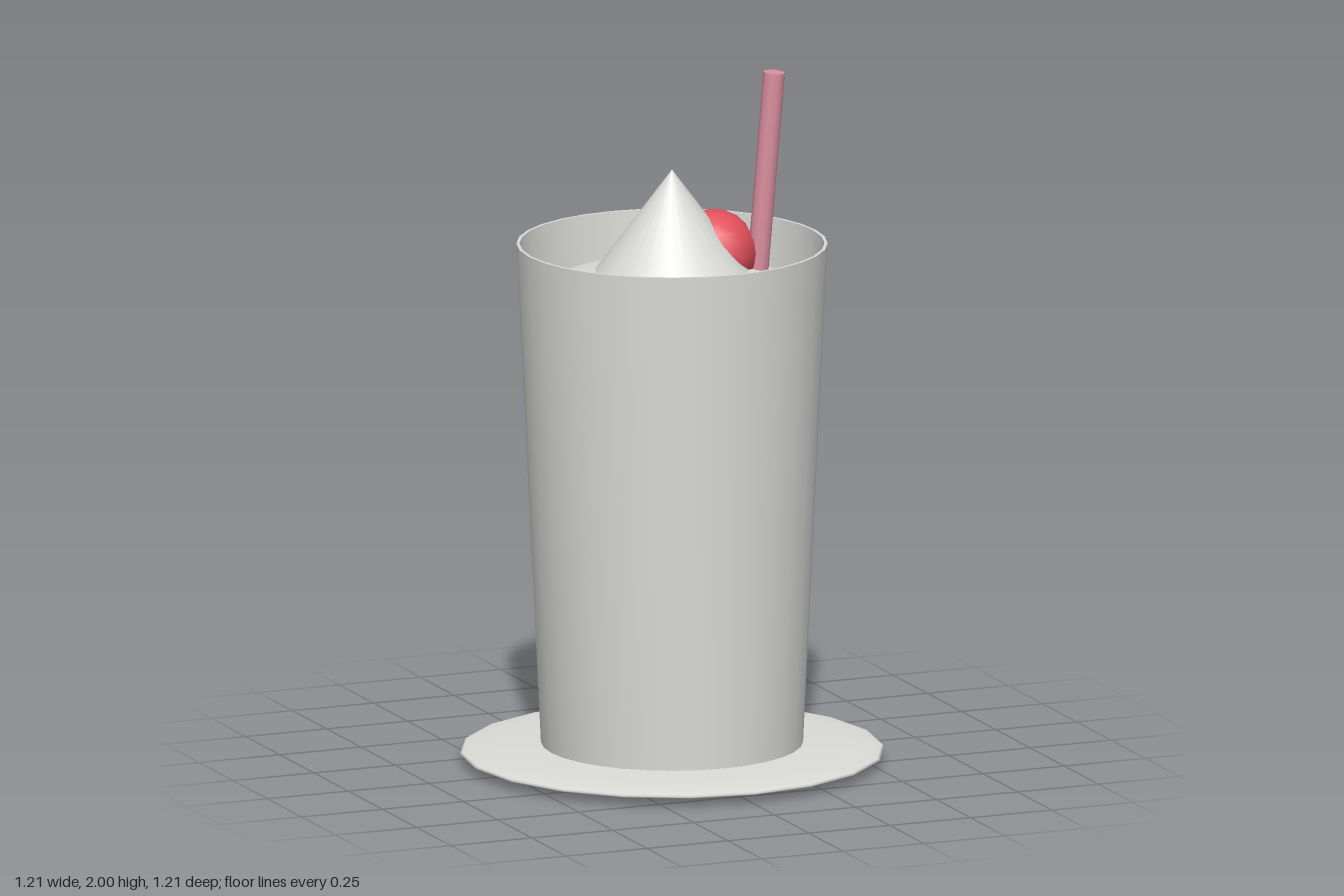
import * as THREE from 'three';
import { toCreasedNormals } from 'three/addons/utils/BufferGeometryUtils.js';

const paint = (name, color) => {
  const m = new THREE.MeshStandardMaterial({ color });
  m.name = name;
  return m;
};

export function createModel() {
  const group = new THREE.Group();
  const white = paint('soft white', 0xdbdbd8);
  const red = paint('cherry red', 0xe2505b);
  const pink = paint('straw pink', 0xdc90a0);

  const add = (name, geometry, material, x = 0, y = 0, z = 0) => {
    const mesh = new THREE.Mesh(geometry, material);
    mesh.name = name;
    mesh.position.set(x, y, z);
    group.add(mesh);
    return mesh;
  };

  // Thin lens-shaped saucer
  add('saucer', new THREE.SphereGeometry(0.607, 20, 20).scale(1, 0.031 / 0.607, 1), white, 0, 0.035, 0)
    .position.y = 0.031;

  // Tapered cup with a thin wall and a closed floor
  const wall = [[0, 0.055], [0.373, 0.055], [0.443, 1.51], [0.434, 1.51], [0.366, 0.09], [0, 0.09]];
  const cup = new THREE.LatheGeometry(wall.map(([r, y]) => new THREE.Vector2(r, y)), 32);
  add('cup', toCreasedNormals(cup, 0.7), white);

  // Flattened ice cream dome with a pointed peak of cream
  add('iceCream', new THREE.SphereGeometry(0.41, 20, 20).scale(1, 0.12 / 0.41, 1), white, 0, 1.33, 0);
  add('creamPeak', new THREE.ConeGeometry(0.218, 0.293, 32), white, 0, 1.579, 0);

  // Cherry resting against the peak
  add('cherry', new THREE.SphereGeometry(0.122, 10, 10), red, 0.13, 1.474, 0);

  // Leaning straw, from inside the ice cream up to its tip
  const base = new THREE.Vector3(0.229, 1.2, 0.038);
  const tip = new THREE.Vector3(0.287, 1.998, 0.067);
  const along = tip.clone().sub(base);
  const straw = add('straw', new THREE.CylinderGeometry(0.031, 0.031, along.length(), 10), pink);
  straw.position.copy(base).add(tip).multiplyScalar(0.5);
  straw.quaternion.setFromUnitVectors(new THREE.Vector3(0, 1, 0), along.normalize());

  return group;
}
